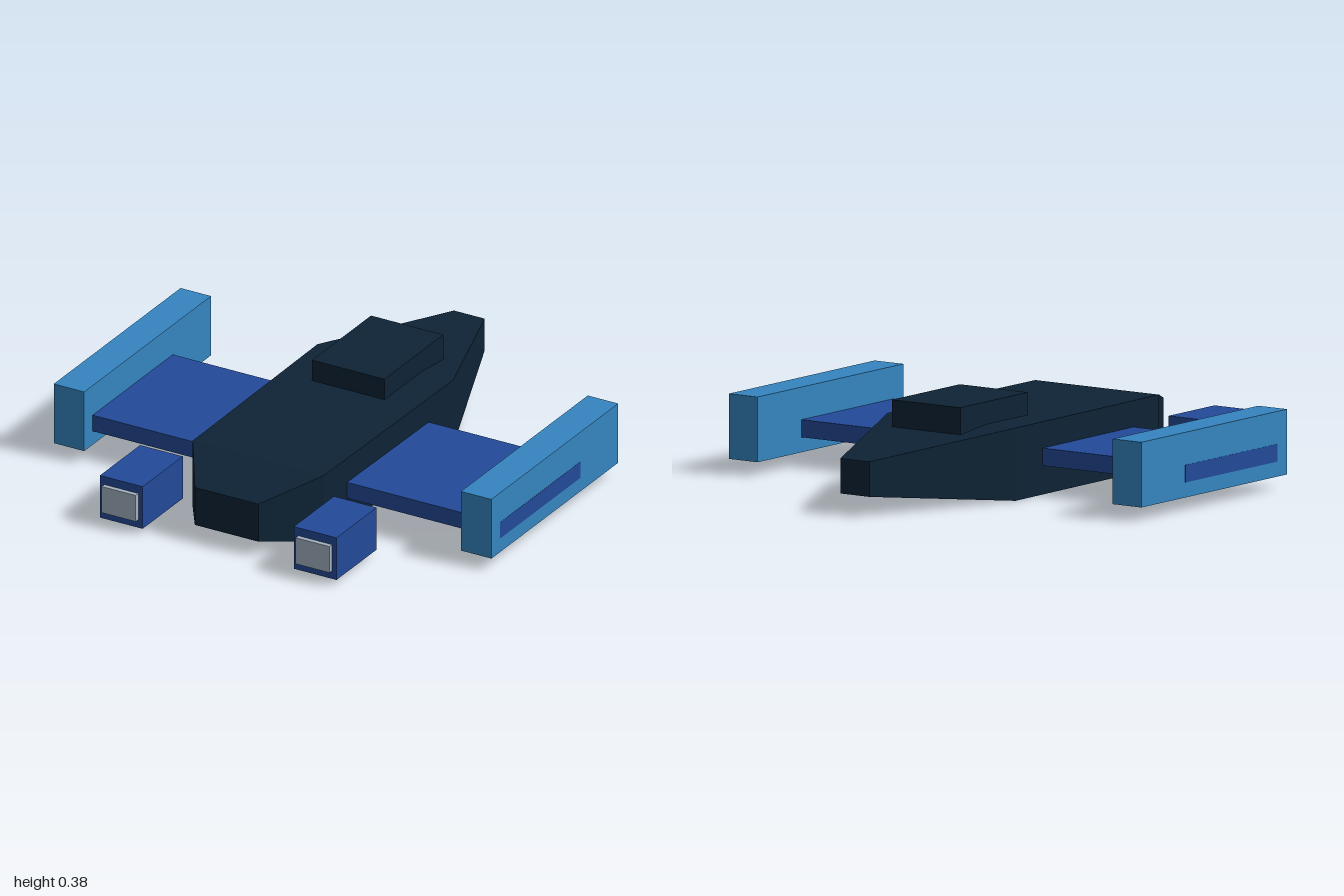
import * as THREE from 'three';

const material = (name, color) => {
  const m = new THREE.MeshStandardMaterial({ color, flatShading: true });
  m.name = name;
  return m;
};

// Box given by its minimum and maximum corners
function box(name, mat, [x0, y0, z0], [x1, y1, z1]) {
  const mesh = new THREE.Mesh(new THREE.BoxGeometry(x1 - x0, y1 - y0, z1 - z0), mat);
  mesh.position.set((x0 + x1) / 2, (y0 + y1) / 2, (z0 + z1) / 2);
  mesh.name = name;
  return mesh;
}

// Skin rectangular cross-sections [z, halfWidth, bottom, top], from -z to +z
function loft(sections) {
  const points = [];
  const index = [];
  for (const [z, w, b, t] of sections) {
    points.push(-w, b, z, w, b, z, w, t, z, -w, t, z);
  }
  for (let s = 0; s < sections.length - 1; s++) {
    for (let i = 0; i < 4; i++) {
      const a = s * 4 + i;
      const b = s * 4 + ((i + 1) % 4);
      index.push(a, b, b + 4, a, b + 4, a + 4);
    }
  }
  const e = (sections.length - 1) * 4;
  index.push(0, 2, 1, 0, 3, 2, e, e + 1, e + 2, e, e + 2, e + 3);
  const geometry = new THREE.BufferGeometry();
  geometry.setAttribute('position', new THREE.Float32BufferAttribute(points, 3));
  geometry.setIndex(index);
  const flat = geometry.toNonIndexed();
  flat.computeVertexNormals();
  return flat;
}

export function createModel() {
  const navy = material('dark navy', 0x0e2336);
  const blue = material('royal blue', 0x224a99);
  const sky = material('sky blue', 0x3585c0);
  const grey = material('pale grey', 0xa3b1c2);

  const model = new THREE.Group();
  model.name = 'spacecraft';

  // Tapered hull and raised cabin
  const hull = new THREE.Mesh(loft([
    [-0.98, 0.07, 0.08, 0.22],
    [-0.33, 0.31, 0, 0.29],
    [0.65, 0.3, 0, 0.29],
    [0.895, 0.145, 0.065, 0.23],
  ]), navy);
  hull.name = 'hull';
  model.add(hull, box('cabin', navy, [-0.165, 0.2, -0.5], [0.165, 0.38, -0.045]));

  // Mirrored wings, side rails and pods
  for (const side of [-1, 1]) {
    const prefix = side > 0 ? 'left' : 'right';
    const part = (name, mat, lo, hi) => {
      const xs = [lo[0] * side, hi[0] * side].sort((a, b) => a - b);
      model.add(box(prefix + name, mat, [xs[0], lo[1], lo[2]], [xs[1], hi[1], hi[2]]));
    };
    part('Wing', blue, [0.2, 0.115, -0.145], [0.9, 0.185, 0.475]);
    part('Rail', sky, [0.86, 0.055, -0.44], [0.999, 0.315, 0.54]);
    part('WingTipPlate', blue, [0.997, 0.115, -0.145], [1, 0.185, 0.475]);
    part('Pod', blue, [0.345, 0.025, 0.65], [0.54, 0.21, 0.96]);
    part('PodNozzle', grey, [0.365, 0.06, 0.9], [0.52, 0.175, 0.98]);
  }
  return model;
}
